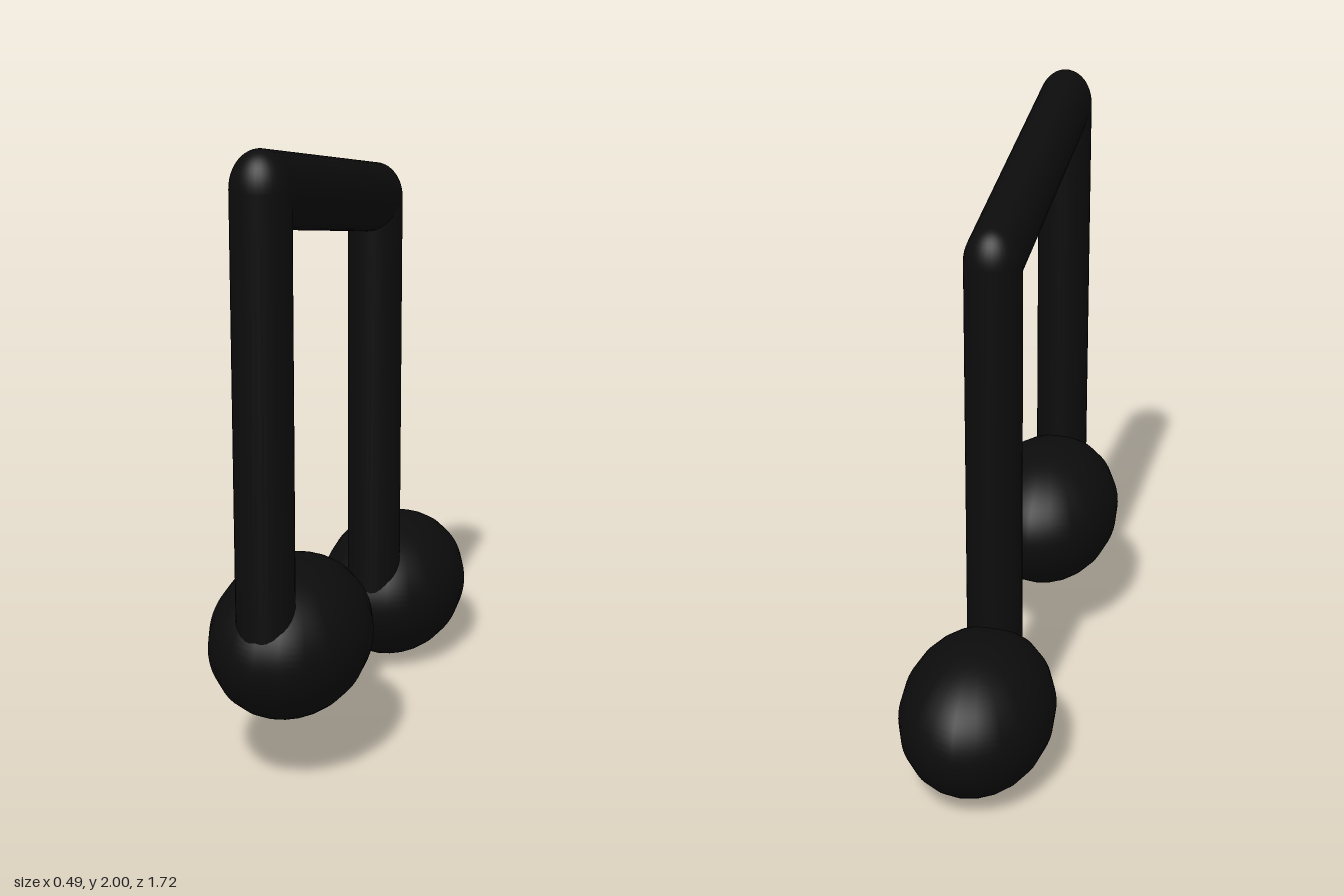
import * as THREE from 'three';

export function createModel() {
  const model = new THREE.Group();
  const material = new THREE.MeshStandardMaterial({ color: 0x0c0c0c });
  const R = 0.09;        // tube radius
  const STRETCH = 1.27;  // vertical stretch of beam and corners

  const add = (parent, name, geometry, x, y, z) => {
    const mesh = new THREE.Mesh(geometry, material);
    mesh.name = name;
    mesh.position.set(x, y, z);
    parent.add(mesh);
    return mesh;
  };

  // beam and rounded corners share the vertical stretch
  const top = new THREE.Group();
  top.name = 'beamAssembly';
  top.scale.y = STRETCH;
  model.add(top);

  const notes = [
    { name: 'front', stemZ: 0.746, topY: 1.886, headY: 0.453, headZ: 0.525 },
    { name: 'back', stemZ: -0.295, topY: 1.682, headY: 0.247, headZ: -0.525 },
  ];

  for (const n of notes) {
    // note head: ellipsoid with a 20-sided outline from above
    const head = new THREE.SphereGeometry(1, 20, 40).scale(0.246, 0.247, 0.336);
    add(model, n.name + 'Head', head, 0, n.headY, n.headZ);

    // upright stem from the middle of the head to the corner
    const stem = new THREE.CylinderGeometry(R, R, n.topY - n.headY, 32, 1, true);
    add(model, n.name + 'Stem', stem, 0, (n.topY + n.headY) / 2, n.stemZ);

    // rounded corner joining stem and beam
    add(top, n.name + 'Corner', new THREE.SphereGeometry(R, 32, 24), 0, n.topY / STRETCH, n.stemZ);
  }

  // sloping beam between the corners
  const [a, b] = notes.map((n) => new THREE.Vector3(0, n.topY / STRETCH, n.stemZ));
  const axis = b.clone().sub(a);
  const middle = a.clone().add(b).multiplyScalar(0.5);
  const beam = add(top, 'beam', new THREE.CylinderGeometry(R, R, axis.length(), 32, 1, true), 0, middle.y, middle.z);
  beam.quaternion.setFromUnitVectors(new THREE.Vector3(0, 1, 0), axis.normalize());

  return model;
}
